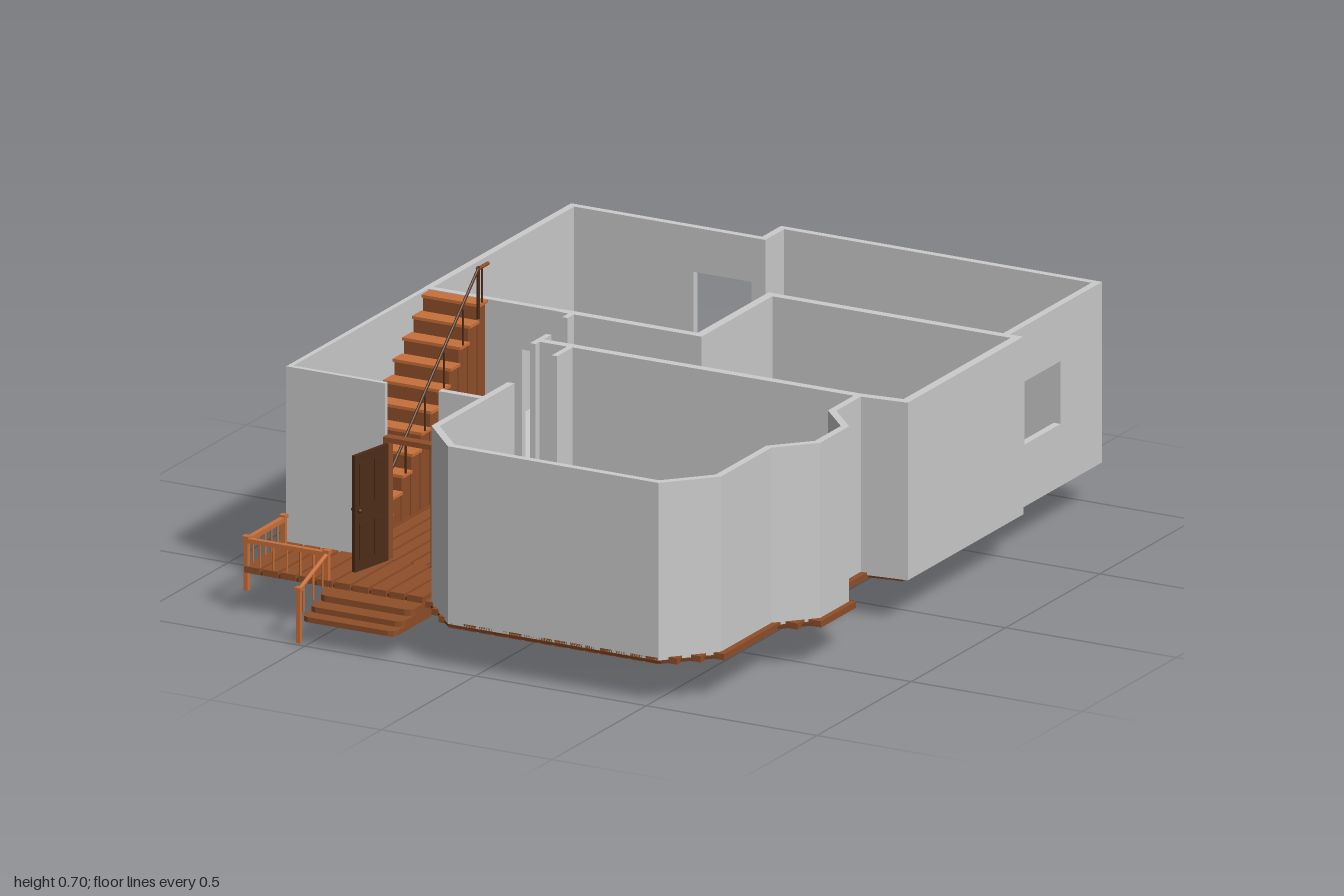
import * as THREE from 'three';

const mat = (color) => new THREE.MeshStandardMaterial({ color, flatShading: true });
const grey = mat(0xcccccc), plankMat = mat(0x8f4f29), gapMat = mat(0x6a381c);
const stairMat = mat(0xc8703a), doorMat = mat(0x4d2c18);

export function createModel() {
  const root = new THREE.Group();
  root.name = 'houseGroundFloor';

  const group = (name) => {
    const g = new THREE.Group();
    g.name = name;
    root.add(g);
    return g;
  };
  const add = (parent, name, geo, m) => {
    const mesh = new THREE.Mesh(geo, m);
    mesh.name = name;
    parent.add(mesh);
    return mesh;
  };
  // Box given by its limits on each axis
  const box = (parent, name, [x0, x1], [y0, y1], [z0, z1], m) => {
    const mesh = add(parent, name, new THREE.BoxGeometry(x1 - x0, y1 - y0, z1 - z0), m);
    mesh.position.set((x0 + x1) / 2, (y0 + y1) / 2, (z0 + z1) / 2);
    return mesh;
  };
  // Upright prism over an [x, z] outline
  const prism = (parent, name, pts, y0, y1, m) => {
    const shape = new THREE.Shape(pts.map(([x, z]) => new THREE.Vector2(x, -z)));
    const geo = new THREE.ExtrudeGeometry(shape, { depth: y1 - y0, bevelEnabled: false });
    geo.rotateX(-Math.PI / 2).translate(0, y0, 0);
    return add(parent, name, geo, m);
  };
  // Wall of even thickness along a path, with mitred corners
  const wall = (parent, name, path, t = 0.02, y0 = 0.12, y1 = 0.6) => {
    const p = path.map(([x, z]) => new THREE.Vector2(x, z));
    const dir = (i) => p[i + 1].clone().sub(p[i]).normalize();
    const offs = p.map((_, i) => {
      const a = dir(Math.max(i - 1, 0)), b = dir(Math.min(i, p.length - 2));
      const na = new THREE.Vector2(-a.y, a.x), nb = new THREE.Vector2(-b.y, b.x);
      const n = na.clone().add(nb).normalize();
      return n.multiplyScalar(t / 2 / n.dot(nb));
    });
    const left = p.map((v, i) => [v.x + offs[i].x, v.y + offs[i].y]);
    const right = p.map((v, i) => [v.x - offs[i].x, v.y - offs[i].y]).reverse();
    return prism(parent, name, [...left, ...right], y0, y1, grey);
  };
  // Round bar between two points
  const bar = (parent, name, a, b, r, m) => {
    const va = new THREE.Vector3(...a), d = new THREE.Vector3(...b).sub(va);
    const mesh = add(parent, name, new THREE.CylinderGeometry(r, r, d.length(), 8), m);
    mesh.position.copy(va).addScaledVector(d, 0.5);
    mesh.quaternion.setFromUnitVectors(new THREE.Vector3(0, 1, 0), d.normalize());
  };

  // Rear slab
  prism(root, 'rearFloor', [[-0.77, -0.9], [-0.21, -0.9], [-0.21, -1], [0.73, -1], [0.73, -0.5],
    [0.03, -0.5], [0.03, -0.12], [-0.77, -0.12]], 0.112, 0.122, grey);

  // Rear walls, with a doorway and a window
  const rear = group('rearWalls');
  wall(rear, 'backWallLeft', [[-0.23, -0.89], [-0.2, -0.89], [-0.2, -0.99], [0.72, -0.99], [0.72, -0.78]], 0.02, 0.112);
  wall(rear, 'backDoorHeader', [[-0.4, -0.89], [-0.23, -0.89]], 0.02, 0.48);
  wall(rear, 'backWallRight', [[-0.4, -0.89], [-0.76, -0.89], [-0.76, -0.12]], 0.02, 0.112);
  wall(rear, 'windowSill', [[0.72, -0.78], [0.72, -0.59]], 0.02, 0.112, 0.28);
  wall(rear, 'windowHeader', [[0.72, -0.78], [0.72, -0.59]], 0.02, 0.45);
  wall(rear, 'windowSideWall', [[0.72, -0.59], [0.72, -0.5]], 0.02, 0.112);

  // Middle walls between the rear rooms and the hall
  const middle = group('middleWalls');
  wall(middle, 'sideRoomWall', [[-0.37, -0.125], [0.035, -0.125], [0.035, -0.5], [0.757, -0.5], [0.757, 0.09],
    [0.63, 0.105], [-0.305, 0.112]], 0.024);
  wall(middle, 'hallDoorHeader', [[-0.48, -0.125], [-0.37, -0.125]], 0.02, 0.48);
  wall(middle, 'hallBackWall', [[-0.76, -0.125], [-0.48, -0.125]]);
  wall(middle, 'hallStub', [[-0.335, -0.125], [-0.335, -0.08]], 0.016);
  wall(middle, 'hallEndWall', [[-0.305, 0.06], [-0.305, 0.145]], 0.016);

  // Front walls with the bay window
  const front = group('frontWalls');
  wall(front, 'bayRoomWall', [[-0.2, 0.45], [-0.2, 0.85], [-0.088, 0.97], [0.52, 0.97], [0.63, 0.853], [0.63, 0.585],
    [0.72, 0.49], [0.72, 0.345], [0.63, 0.25], [0.63, 0.105]]);
  wall(front, 'bayRoomStub', [[-0.208, 0.11], [-0.208, 0.205]], 0.016);
  wall(front, 'entryWall', [[-0.33, 0.59], [-0.2, 0.59]]);
  wall(front, 'hallOuterWall', [[-0.762, -0.12], [-0.762, 0.605], [-0.48, 0.605]], 0.014);

  // Plank floor: a thin base, then planks cut to the outline
  const deck = group('plankFloor');
  prism(deck, 'floorBase', [[-0.76, -0.13], [0.03, -0.13], [0.03, -0.5], [0.75, -0.5], [0.75, 0.09], [0.645, 0.11],
    [0.645, 0.25], [0.73, 0.33], [0.73, 0.51], [0.645, 0.6], [0.645, 0.86], [0.53, 0.98], [-0.09, 0.98],
    [-0.21, 0.86], [-0.21, 0.61], [-0.76, 0.61]], 0.112, 0.119, gapMat);
  const planks = (x0, x1, step, rangeAt) => {
    for (let x = x0; x < x1 - 0.01; x += step) {
      const c = x + step / 2;
      for (const z of rangeAt(c)) box(deck, 'plank', [x + 0.004, Math.min(x + step - 0.004, x1)], [0.11, 0.127], z, plankMat);
    }
  };
  planks(-0.76, 0.75, 0.0444, (x) => {
    const back = x < 0.03 ? -0.13 : -0.5;
    if (x > 0.645) return [[back, 0.09], [0.25 + (x - 0.645), 0.6 - (x - 0.645)]];
    if (x < -0.21) return [[back, 0.61]];
    return [[back, Math.min(0.98, 0.86 + (x + 0.21), 0.86 + (0.65 - x))]];
  });

  // Porch boards, supports and railing
  planks(-0.77, -0.24, 0.053, () => [[0.61, 0.84]]);
  box(deck, 'porchBase', [-0.765, -0.245], [0.108, 0.118], [0.61, 0.835], gapMat);
  const rail = group('porchRailing');
  const post = (x, z, y0, y1) => {
    box(rail, 'post', [x - 0.006, x + 0.006], [y0, y1], [z - 0.006, z + 0.006], stairMat);
    box(rail, 'postCap', [x - 0.009, x + 0.009], [y1 - 0.01, y1], [z - 0.009, z + 0.009], stairMat);
  };
  post(-0.763, 0.635, 0.06, 0.208);
  post(-0.763, 0.832, 0.06, 0.208);
  post(-0.527, 0.832, 0.06, 0.208);
  post(-0.527, 0.982, 0, 0.15);
  box(rail, 'frontRail', [-0.763, -0.527], [0.19, 0.202], [0.825, 0.839], stairMat);
  box(rail, 'sideRail', [-0.77, -0.756], [0.19, 0.202], [0.635, 0.832], stairMat);
  bar(rail, 'stepRail', [-0.527, 0.197, 0.832], [-0.527, 0.143, 0.982], 0.006, stairMat);
  for (let i = 1; i < 6; i++) {
    const x = -0.763 + i * 0.0393, z = 0.635 + i * 0.0328, s = i / 6;
    bar(rail, 'baluster', [x, 0.12, 0.832], [x, 0.195, 0.832], 0.003, stairMat);
    bar(rail, 'baluster', [-0.763, 0.12, z], [-0.763, 0.195, z], 0.003, stairMat);
    if (i % 2) bar(rail, 'baluster', [-0.527, 0.12 - 0.05 * s, 0.832 + 0.15 * s], [-0.527, 0.195 - 0.054 * s, 0.832 + 0.15 * s], 0.003, stairMat);
  }

  // Porch steps with clipped front corners
  const steps = group('porchSteps');
  [[0.905, 0.11, 0.09], [0.955, 0.093, 0.075], [0.995, 0.078, 0.064]].forEach(([z, top, low]) => {
    prism(steps, 'porchStep', [[-0.515, 0.8], [-0.24, 0.8], [-0.24, z - 0.02], [-0.246, z - 0.006], [-0.26, z],
      [-0.495, z], [-0.509, z - 0.006], [-0.515, z - 0.02]], low, top, plankMat);
  });

  // Staircase along the hall wall
  const stairs = group('staircase');
  const run = 0.0505, rise = 0.043, n = 11;
  for (let i = 0; i < n; i++) {
    const z = 0.435 - i * run, y = 0.125 + (i + 1) * rise;
    box(stairs, 'riser', [-0.748, -0.588], [0.125, y - 0.008], [z - run, z - 0.006], plankMat);
    box(stairs, 'tread', [-0.75, -0.58], [y - 0.008, y], [z - run, z], stairMat);
    if (i % 2 === 0) bar(stairs, 'stairBaluster', [-0.583, y, z - 0.02], [-0.583, y + 0.095, z - 0.02], 0.003, doorMat);
  }
  bar(stairs, 'handrail', [-0.583, 0.26, 0.42], [-0.583, 0.695, -0.07], 0.004, doorMat);
  bar(stairs, 'landingRail', [-0.583, 0.695, -0.065], [-0.583, 0.695, -0.122], 0.005, plankMat);
  bar(stairs, 'topPost', [-0.583, 0.56, -0.07], [-0.583, 0.7, -0.07], 0.005, doorMat);
  bar(stairs, 'bottomPost', [-0.583, 0.125, 0.42], [-0.583, 0.27, 0.42], 0.006, doorMat);

  // Front door frame and open door
  const entry = group('frontDoor');
  for (const x of [-0.48, -0.34]) box(entry, 'frameSide', [x, x + 0.014], [0.125, 0.457], [0.595, 0.622], plankMat);
  box(entry, 'frameTop', [-0.48, -0.326], [0.445, 0.459], [0.595, 0.622], plankMat);
  const leaf = new THREE.Group();
  leaf.name = 'doorLeaf';
  leaf.position.set(-0.468, 0.128, 0.622);
  leaf.rotation.y = -0.2;
  entry.add(leaf);
  box(leaf, 'doorBoard', [-0.005, 0.005], [0, 0.315], [0, 0.132], doorMat);
  for (const s of [-1, 1]) {
    for (const [a, b] of [[0.03, 0.13], [0.18, 0.29]]) {
      for (const z of [0.015, 0.075]) box(leaf, 'doorPanel', [s * 0.006 - 0.002, s * 0.006 + 0.002], [a, b], [z, z + 0.042], doorMat);
    }
    const knob = add(leaf, 'doorKnob', new THREE.SphereGeometry(0.006, 10, 8), doorMat);
    knob.position.set(s * 0.011, 0.165, 0.12);
  }
  return root;
}
